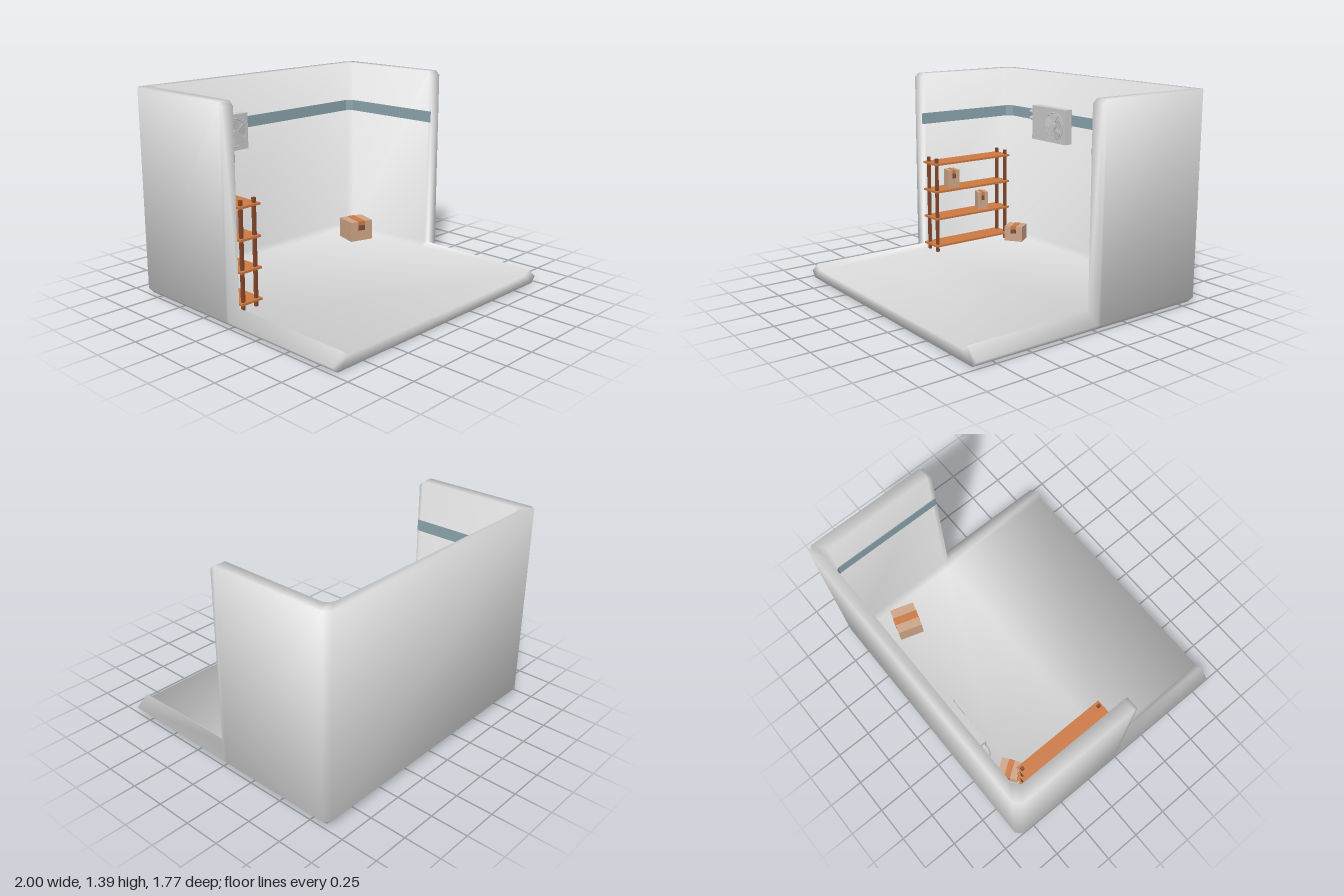
import * as THREE from 'three';
import { mergeVertices } from 'three/addons/utils/BufferGeometryUtils.js';

const mat = (name, color) => {
  const m = new THREE.MeshStandardMaterial({ color });
  m.name = name;
  return m;
};

const V = (x, y, z) => new THREE.Vector3(x, y, z);

function add(parent, name, geometry, material, x = 0, y = 0, z = 0) {
  const mesh = new THREE.Mesh(geometry, material);
  mesh.name = name;
  mesh.position.set(x, y, z);
  parent.add(mesh);
  return mesh;
}

const box = (parent, name, w, h, d, material, x, y, z) =>
  add(parent, name, new THREE.BoxGeometry(w, h, d), material, x, y, z);

// Smooth normals weighted by corner angle, so narrow bevels bend the shading of wide faces
function smoothByAngle(geometry) {
  const pos = geometry.attributes.position, index = geometry.index.array;
  const sums = Array.from({ length: pos.count }, () => V(0, 0, 0));
  const tri = new THREE.Triangle(), n = V(0, 0, 0);
  for (let f = 0; f < index.length; f += 3) {
    const ids = [index[f], index[f + 1], index[f + 2]];
    tri.setFromAttributeAndIndices(pos, ...ids);
    if (tri.getArea() < 1e-9) continue;
    tri.getNormal(n);
    const p = [tri.a, tri.b, tri.c];
    for (let k = 0; k < 3; k++) {
      const u = p[(k + 1) % 3].clone().sub(p[k]), v = p[(k + 2) % 3].clone().sub(p[k]);
      sums[ids[k]].addScaledVector(n, u.angleTo(v));
    }
  }
  const normals = sums.flatMap(s => s.normalize().toArray());
  geometry.setAttribute('normal', new THREE.Float32BufferAttribute(normals, 3));
  return geometry;
}

// Room shell: a wall section swept round a U, dropping to a low lip at the open front
function roomGeometry() {
  // Section order: underside, outer low edge, outer top, inner top, inner low edge, floor edge
  const section = (z, top, outer, inner, under, floor) => [
    V(under[0], 0, under[1]), V(outer[0], 0.04, outer[1]),
    top ? V(outer[0], top, outer[1]) : V(inner[0], 0.11, z),
    V(inner[0], top || 0.11, inner[1]), V(inner[0], 0.11, inner[1]),
    V(floor[0], 0.075, floor[1]),
  ];
  const straight = (z, top) => section(z, top, [1, z], [0.915, z], [0.96, z], [0.875, z]);
  const half = [
    straight(0.885, 0), straight(0, 0), straight(0, 1.36), straight(-0.03, 1.39),
    section(0, 1.39, [1, -0.845], [0.915, -0.78], [0.96, -0.845], [0.875, -0.78]),
    section(0, 1.39, [0.96, -0.885], [0.875, -0.82], [0.96, -0.845], [0.875, -0.78]),
  ];
  const mirrored = half.map(s => s.map(p => V(-p.x, p.y, p.z))).reverse();
  const st = [...half, ...mirrored], last = st.length - 1;
  const id = (i, j) => i * 6 + j;
  const idx = [];
  const quad = (a, b, c, d) => idx.push(a, b, c, a, c, d);
  for (let i = 0; i < last; i++)
    for (let j = 0; j < 5; j++) quad(id(i, j), id(i + 1, j), id(i + 1, j + 1), id(i, j + 1));
  // Underside and floor
  for (let i = 0; i < 5; i++) {
    const m = last - i;
    quad(id(i, 0), id(m, 0), id(m - 1, 0), id(i + 1, 0));
    quad(id(i, 5), id(i + 1, 5), id(m - 1, 5), id(m, 5));
  }
  // Front edge
  quad(id(0, 0), id(0, 1), id(0, 2), id(0, 5));
  quad(id(last, 5), id(last, 2), id(last, 1), id(last, 0));
  quad(id(last, 0), id(0, 0), id(0, 5), id(last, 5));
  const g = new THREE.BufferGeometry();
  g.setAttribute('position', new THREE.Float32BufferAttribute(st.flat().flatMap(p => p.toArray()), 3));
  g.setIndex(idx);
  return smoothByAngle(mergeVertices(g, 1e-4));
}

export function createModel() {
  const model = new THREE.Group();
  model.name = 'storageRoom';
  const wall = mat('wall grey', 0xd9d9d9);
  const blue = mat('stripe blue', 0x8ba4ad);
  const unitGrey = mat('unit grey', 0xcacaca);
  const orange = mat('shelf orange', 0xcb7842);
  const brown = mat('post brown', 0x85482c);
  const card = mat('cardboard', 0xcda486);
  const flap = mat('tape brown', 0x7d4c36);

  add(model, 'room', roomGeometry(), wall);

  // Painted band round the inside of the walls
  const band = [[0.914, -0.002], [0.914, -0.78], [0.874, -0.819], [-0.874, -0.819], [-0.914, -0.78], [-0.914, -0.002]];
  for (let i = 0; i < band.length - 1; i++) {
    const [x0, z0] = band[i], [x1, z1] = band[i + 1];
    const plate = box(model, 'wallStripe', Math.hypot(x1 - x0, z1 - z0), 0.08, 0.006, blue,
      (x0 + x1) / 2, 1.06, (z0 + z1) / 2);
    plate.rotation.y = -Math.atan2(z1 - z0, x1 - x0);
  }

  // Shelving rack
  const rack = new THREE.Group();
  rack.name = 'shelvingRack';
  model.add(rack);
  for (const y of [0.123, 0.33, 0.535, 0.74])
    box(rack, 'shelf', 0.166, 0.014, 0.675, orange, -0.812, y, -0.333);
  for (const x of [-0.865, -0.76])
    for (const z of [-0.65, -0.022])
      box(rack, 'shelfPost', 0.02, 0.705, 0.02, brown, x, 0.428, z);

  // Cardboard boxes with tape over the top and down the front and back
  const carton = (x, y, z, w, h, d, turn) => {
    const g = new THREE.Group();
    g.name = 'cardboardBox';
    g.position.set(x, y, z);
    g.rotation.y = turn;
    model.add(g);
    box(g, 'boxBody', w, h, d, card, 0, h / 2, 0);
    const t = w * 0.3;
    box(g, 'topTape', t, 0.004, d + 0.004, orange, 0, h, 0);
    for (const s of [-1, 1]) {
      box(g, 'endTape', t, h * 0.2, 0.004, orange, 0, h * 0.9, s * d / 2);
      box(g, 'endTapeTip', t, h * 0.27, 0.005, flap, 0, h * 0.67, s * d / 2);
    }
  };
  carton(-0.623, 0.095, -0.653, 0.138, 0.115, 0.125, 0.61);
  carton(0.70, 0.075, -0.54, 0.185, 0.15, 0.175, -0.3);
  carton(-0.815, 0.542, -0.19, 0.088, 0.133, 0.088, 1.4);
  carton(-0.808, 0.337, -0.46, 0.08, 0.133, 0.085, 1.25);

  // Wall cooling unit
  const unit = new THREE.Group();
  unit.name = 'coolingUnit';
  model.add(unit);
  box(unit, 'unitCase', 0.375, 0.255, 0.064, unitGrey, -0.367, 1.0125, -0.787);
  for (const y of [1.106, 1.094])
    box(unit, 'unitVent', 0.055, 0.005, 0.006, unitGrey, -0.49, y, -0.753);

  // Fan: rim, hub and sloping blades
  const fan = new THREE.Group();
  fan.name = 'fan';
  fan.position.set(-0.3, 1.01, -0.753);
  unit.add(fan);
  add(fan, 'fanRim', new THREE.TorusGeometry(0.098, 0.004, 6, 32), unitGrey);
  const hub = add(fan, 'fanHub', new THREE.CylinderGeometry(0.024, 0.024, 0.018, 20), unitGrey, 0, 0, 0.007);
  hub.rotation.x = Math.PI / 2;
  const blade = new THREE.Shape();
  blade.absarc(0, 0, 0.092, -0.48, 0.48, false);
  blade.absarc(0, 0, 0.022, 0.4, -0.4, true);
  const bladeGeo = new THREE.ExtrudeGeometry(blade, { depth: 0.004, bevelEnabled: false, curveSegments: 8 });
  bladeGeo.rotateX(0.12);
  for (let i = 0; i < 5; i++) {
    const b = add(fan, 'fanBlade', bladeGeo, unitGrey, 0, 0, 0.006);
    b.rotation.z = 0.3 + i * Math.PI * 0.4;
  }

  // Pipes bending back into the wall
  for (const y of [1.085, 1.037]) {
    const path = new THREE.CatmullRomCurve3([
      V(-0.55, y, -0.775), V(-0.59, y, -0.775), V(-0.612, y, -0.787), V(-0.618, y, -0.825)]);
    add(unit, 'pipe', new THREE.TubeGeometry(path, 14, 0.012, 10), unitGrey);
  }
  return model;
}
